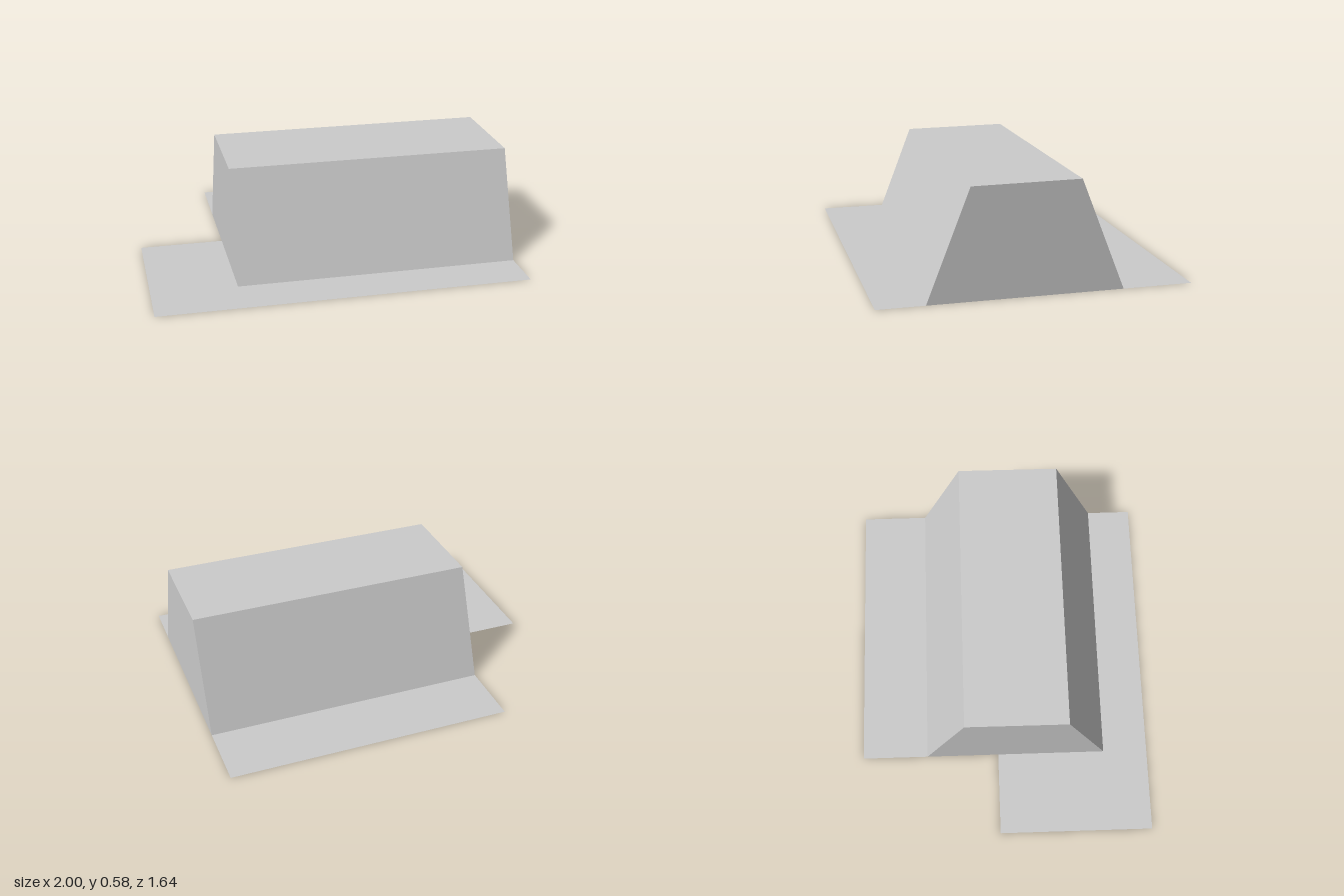
import * as THREE from 'three';

const material = new THREE.MeshStandardMaterial({
  color: 0xcccccc, flatShading: true, side: THREE.DoubleSide,
});

const LEFT = 1, RIGHT = -0.54; // end walls of the hall along x

// Cross-section of the hall as [z, y], from front foot to back foot
const profile = [[0.57, 0], [0.345, 0.58], [-0.22, 0.585], [-0.45, 0]];

function addMesh(group, name, geometry) {
  const mesh = new THREE.Mesh(geometry, material);
  mesh.name = name;
  group.add(mesh);
  return mesh;
}

const toShape = (points) => new THREE.Shape(points.map(([a, b]) => new THREE.Vector2(a, b)));

// Flat panel running the length of the hall between two profile points
function panel([z0, y0], [z1, y1]) {
  const geometry = new THREE.BufferGeometry();
  geometry.setAttribute('position', new THREE.Float32BufferAttribute([
    RIGHT, y0, z0, LEFT, y0, z0, LEFT, y1, z1, RIGHT, y1, z1,
  ], 3));
  geometry.setIndex([0, 1, 2, 0, 2, 3]);
  geometry.computeVertexNormals();
  return geometry;
}

export function createModel() {
  const model = new THREE.Group();
  model.name = 'hallOnGroundPlate';

  // L-shaped ground plate with a small opening under the hall
  const plate = toShape([[-1, -0.82], [1, -0.82], [1, 0.82], [RIGHT, 0.82], [RIGHT, 0.04], [-1, 0.04]]);
  plate.holes.push(toShape([[0.825, -0.3], [0.825, 0.03], [0.985, 0.03], [0.985, -0.3]]));
  addMesh(model, 'groundPlate', new THREE.ShapeGeometry(plate).rotateX(-Math.PI / 2));

  // Hollow hall: sloped front, flat roof, sloped back
  const hall = new THREE.Group();
  hall.name = 'hall';
  model.add(hall);
  ['frontSlope', 'roof', 'backSlope'].forEach((name, i) => {
    addMesh(hall, name, panel(profile[i], profile[i + 1]));
  });

  // Trapezoid end walls, each facing outward
  for (const [name, x, side] of [['leftEnd', LEFT, 1], ['rightEnd', RIGHT, -1]]) {
    const outline = toShape(profile.map(([z, y]) => [-side * z, y]));
    const end = addMesh(hall, name, new THREE.ShapeGeometry(outline).rotateY(side * Math.PI / 2));
    end.position.x = x;
  }
  return model;
}
